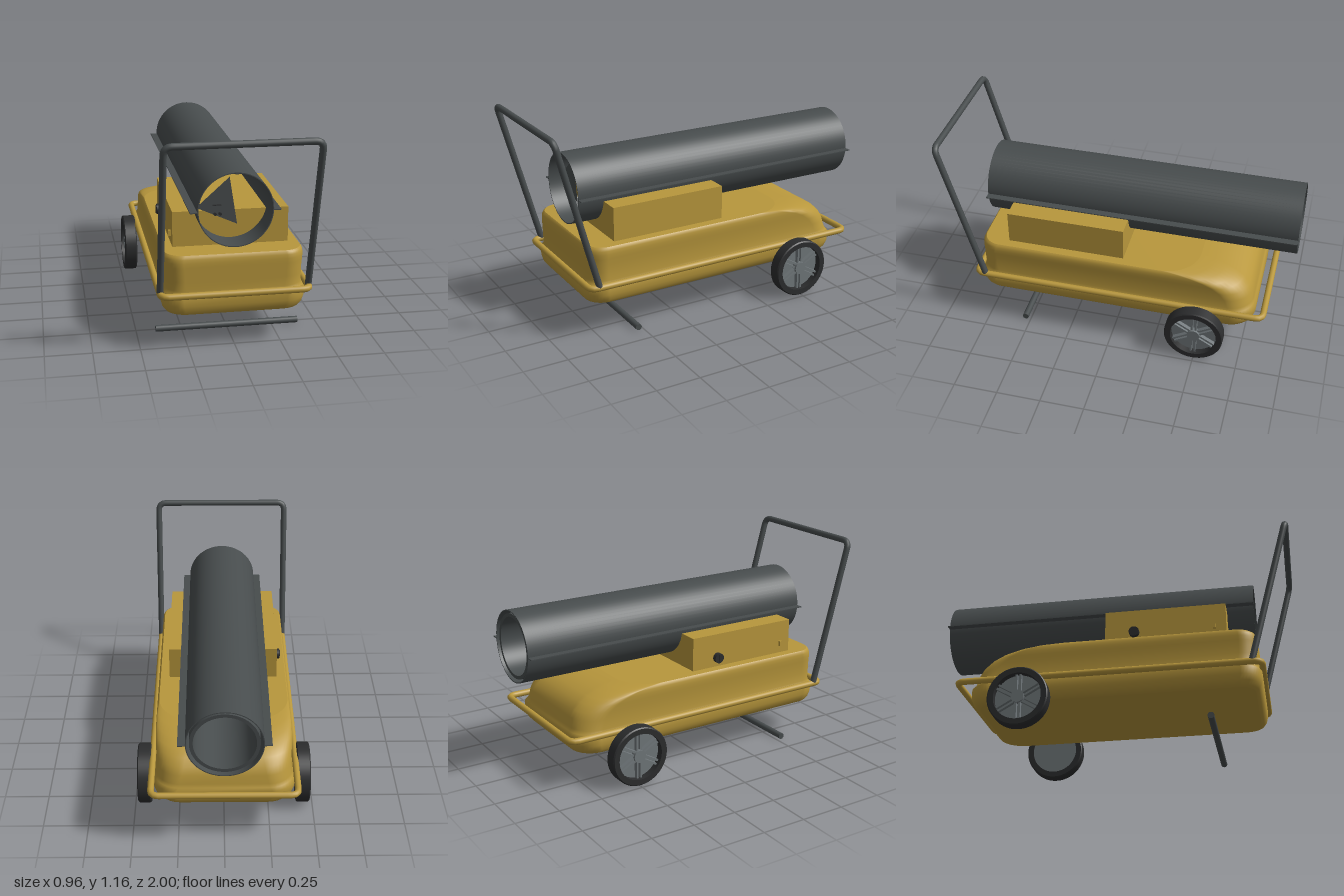
import * as THREE from 'three';

const material = (name, color, extra = {}) => {
  const m = new THREE.MeshStandardMaterial({ color, ...extra });
  m.name = name;
  return m;
};

// Straight runs joined by rounded bends
function bentPath(points, r, closed) {
  const path = new THREE.CurvePath();
  const n = points.length;
  const toward = (a, b) => a.clone().add(b.clone().sub(a).setLength(r));
  const at = (i) => points[(i + n) % n];
  const isEnd = (i) => !closed && (i === 0 || i === n - 1);
  for (let i = 0; i < n; i++) {
    if (!isEnd(i)) {
      path.add(new THREE.QuadraticBezierCurve3(toward(at(i), at(i - 1)), at(i), toward(at(i), at(i + 1))));
    }
    if (closed || i < n - 1) {
      const a = isEnd(i) ? at(i) : toward(at(i), at(i + 1));
      const b = isEnd(i + 1) && !closed ? at(i + 1) : toward(at(i + 1), at(i));
      path.add(new THREE.LineCurve3(a, b));
    }
  }
  return path;
}

// Rounded rectangle outline at one height
function outline([y, hx, front, back, rFront, rBack]) {
  const corners = [[1, front, rFront, 0], [-1, front, rFront, 1], [-1, back, rBack, 2], [1, back, rBack, 3]];
  const steps = 10;
  const pts = [];
  for (const [sx, z, r, q] of corners) {
    const cz = z - Math.sign(z) * r;
    for (let i = 0; i <= steps; i++) {
      const a = (q + i / steps) * Math.PI / 2;
      pts.push([sx * (hx - r) + Math.cos(a) * r, y, cz + Math.sin(a) * r]);
    }
  }
  return pts;
}

// Skin through outlines from bottom to top, with separate flat caps
function loft(sections) {
  const rings = sections.map(outline);
  const n = rings[0].length;
  const pos = rings.flat(2);
  const index = [];
  for (let i = 0; i < rings.length - 1; i++) {
    for (let j = 0; j < n; j++) {
      const k = (j + 1) % n;
      const a = i * n + j, b = i * n + k, c = a + n, d = b + n;
      index.push(a, c, b, b, c, d);
    }
  }
  for (const [ring, up] of [[rings[0], false], [rings[rings.length - 1], true]]) {
    const c = pos.length / 3;
    pos.push(0, ring[0][1], 0, ...ring.flat());
    for (let j = 0; j < n; j++) {
      const a = c + 1 + j, b = c + 1 + (j + 1) % n;
      index.push(c, up ? b : a, up ? a : b);
    }
  }
  const g = new THREE.BufferGeometry();
  g.setAttribute('position', new THREE.Float32BufferAttribute(pos, 3));
  g.setIndex(index);
  g.computeVertexNormals();
  return g;
}

// Hollow pipe along z, built from separate faces so its rims stay sharp
function pipe(name, rOut, rIn, zBack, zFront, mat) {
  const group = new THREE.Group();
  group.name = name;
  const length = zFront - zBack;
  for (const r of [rOut, rIn]) {
    const wall = new THREE.Mesh(new THREE.CylinderGeometry(r, r, length, 64, 1, true), mat);
    wall.rotation.x = Math.PI / 2;
    wall.position.z = (zFront + zBack) / 2;
    wall.name = name + 'Wall';
    group.add(wall);
  }
  for (const z of [zBack, zFront]) {
    const rim = new THREE.Mesh(new THREE.RingGeometry(rIn, rOut, 64), mat);
    rim.position.z = z;
    rim.name = name + 'Rim';
    group.add(rim);
  }
  return group;
}

export function createModel() {
  const model = new THREE.Group();
  model.name = 'portableHeater';
  const yellow = material('yellowPaint', 0xb8973c);
  const steel = material('darkSteel', 0x474c4d, { side: THREE.DoubleSide });
  const rubber = material('blackRubber', 0x2c2d2e);
  const grey = material('greyHub', 0x70777a);
  const V = (x, y, z) => new THREE.Vector3(x, y, z);
  const add = (name, geo, mat, x = 0, y = 0, z = 0, parent = model) => {
    const m = new THREE.Mesh(geo, mat);
    m.name = name;
    m.position.set(x, y, z);
    parent.add(m);
    return m;
  };

  // Fuel tank: lower tray, pinched seam, upper shell sloping down at the back
  add('fuelTank', loft([
    [0.19, 0.34, 0.765, -0.765, 0.09, 0.11],
    [0.198, 0.358, 0.782, -0.785, 0.1, 0.12],
    [0.22, 0.375, 0.797, -0.803, 0.11, 0.13],
    [0.25, 0.383, 0.803, -0.812, 0.11, 0.13],
    [0.295, 0.386, 0.805, -0.812, 0.11, 0.13],
    [0.31, 0.376, 0.795, -0.8, 0.11, 0.13],
    [0.33, 0.369, 0.79, -0.793, 0.11, 0.13],
    [0.38, 0.367, 0.79, -0.783, 0.1, 0.14],
    [0.42, 0.368, 0.79, -0.762, 0.1, 0.15],
    [0.455, 0.371, 0.79, -0.725, 0.1, 0.16],
    [0.48, 0.373, 0.79, -0.68, 0.1, 0.17],
    [0.5, 0.372, 0.787, -0.618, 0.1, 0.18],
    [0.513, 0.368, 0.782, -0.55, 0.1, 0.19],
    [0.52, 0.362, 0.775, -0.47, 0.1, 0.2],
  ]), yellow);

  // Control box with knob and a small side tab
  add('controlBox', new THREE.BoxGeometry(0.62, 0.2, 0.675), yellow, 0, 0.611, 0.288);
  add('controlKnob', new THREE.CylinderGeometry(0.029, 0.029, 0.024, 16), rubber, -0.322, 0.573, 0.115)
    .rotation.z = Math.PI / 2;
  add('knobGrip', new THREE.BoxGeometry(0.006, 0.045, 0.01), rubber, -0.335, 0.573, 0.115);
  add('sideTab', new THREE.BoxGeometry(0.014, 0.03, 0.016), yellow, -0.317, 0.577, 0.56);

  // Heater barrel: outer shell, inner burner pipe and side seam flanges
  const cy = 0.752;
  const barrel = new THREE.Group();
  barrel.name = 'barrel';
  barrel.position.y = cy;
  barrel.add(pipe('outerShell', 0.199, 0.194, -1, 0.775, steel));
  barrel.add(pipe('burnerPipe', 0.179, 0.16, -0.99, -0.04, steel));
  model.add(barrel);
  for (const s of [-1, 1]) {
    add('seamFlange', new THREE.BoxGeometry(0.042, 0.005, 1.775), steel, s * 0.217, 0.745, -0.1125);
  }

  // Intake blade and small fittings inside the barrel mouth
  const blade = new THREE.Shape([
    new THREE.Vector2(-0.02, 0.91), new THREE.Vector2(-0.196, 0.752), new THREE.Vector2(0.02, 0.655),
  ]);
  add('intakeBlade', new THREE.ShapeGeometry(blade), steel, 0, 0, 0.7);
  for (const x of [-0.097, -0.07]) {
    add('terminal', new THREE.CylinderGeometry(0.008, 0.008, 0.03, 12), rubber, x, 0.715, 0.7)
      .rotation.x = Math.PI / 2;
  }
  add('terminalStrip', new THREE.BoxGeometry(0.044, 0.003, 0.03), rubber, -0.087, 0.764, 0.7);

  // Bumper rail around the tank
  const rail = bentPath([
    V(0.394, 0.312, 0.81), V(-0.394, 0.312, 0.81), V(-0.394, 0.312, -0.865), V(0.394, 0.312, -0.865),
  ], 0.045, true);
  add('bumperRail', new THREE.TubeGeometry(rail, 220, 0.018, 14, true), yellow);

  // Leaning push handle with closed ends
  const feet = [V(-0.394, 0.325, 0.76), V(0.394, 0.325, 0.76)];
  const handle = bentPath([feet[0], V(-0.394, 1.15, 0.982), V(0.394, 1.15, 0.982), feet[1]], 0.045, false);
  add('pushHandle', new THREE.TubeGeometry(handle, 160, 0.018, 14, false), steel);
  for (const f of feet) add('handleFoot', new THREE.SphereGeometry(0.018, 14, 8), steel, f.x, f.y, f.z);

  // Front foot bar
  add('footBar', new THREE.CylinderGeometry(0.018, 0.018, 0.79, 16), steel, 0, 0.021, 0.53)
    .rotation.z = Math.PI / 2;

  // Wheels: the local y axis points outward
  const tyreProfile = [
    [0.132, -0.037], [0.162, -0.037], [0.162, -0.037], [0.168, -0.031], [0.168, -0.031],
    [0.168, 0.031], [0.168, 0.031], [0.162, 0.037], [0.162, 0.037], [0.132, 0.037],
    [0.132, 0.037], [0.132, -0.037],
  ].map(([r, y]) => new THREE.Vector2(r, y));
  for (const s of [-1, 1]) {
    const wheel = new THREE.Group();
    wheel.name = s > 0 ? 'leftWheel' : 'rightWheel';
    wheel.position.set(s * 0.442, 0.172, -0.495);
    wheel.rotation.z = -s * Math.PI / 2;
    model.add(wheel);
    add('tyre', new THREE.LatheGeometry(tyreProfile, 48), rubber, 0, 0, 0, wheel);
    add('wheelDisc', new THREE.CylinderGeometry(0.133, 0.133, 0.03, 48), grey, 0, -0.018, 0, wheel);
    add('hub', new THREE.CylinderGeometry(0.036, 0.036, 0.05, 24), grey, 0, 0.006, 0, wheel);
    for (let i = 0; i < 6; i++) {
      const spoke = new THREE.Group();
      spoke.name = 'spokePair';
      spoke.rotation.y = i * Math.PI / 3;
      wheel.add(spoke);
      for (const side of [-1, 1]) {
        add('spoke', new THREE.BoxGeometry(0.1, 0.024, 0.011), grey, 0.08, 0.008, side * 0.011, spoke);
      }
    }
  }
  return model;
}
